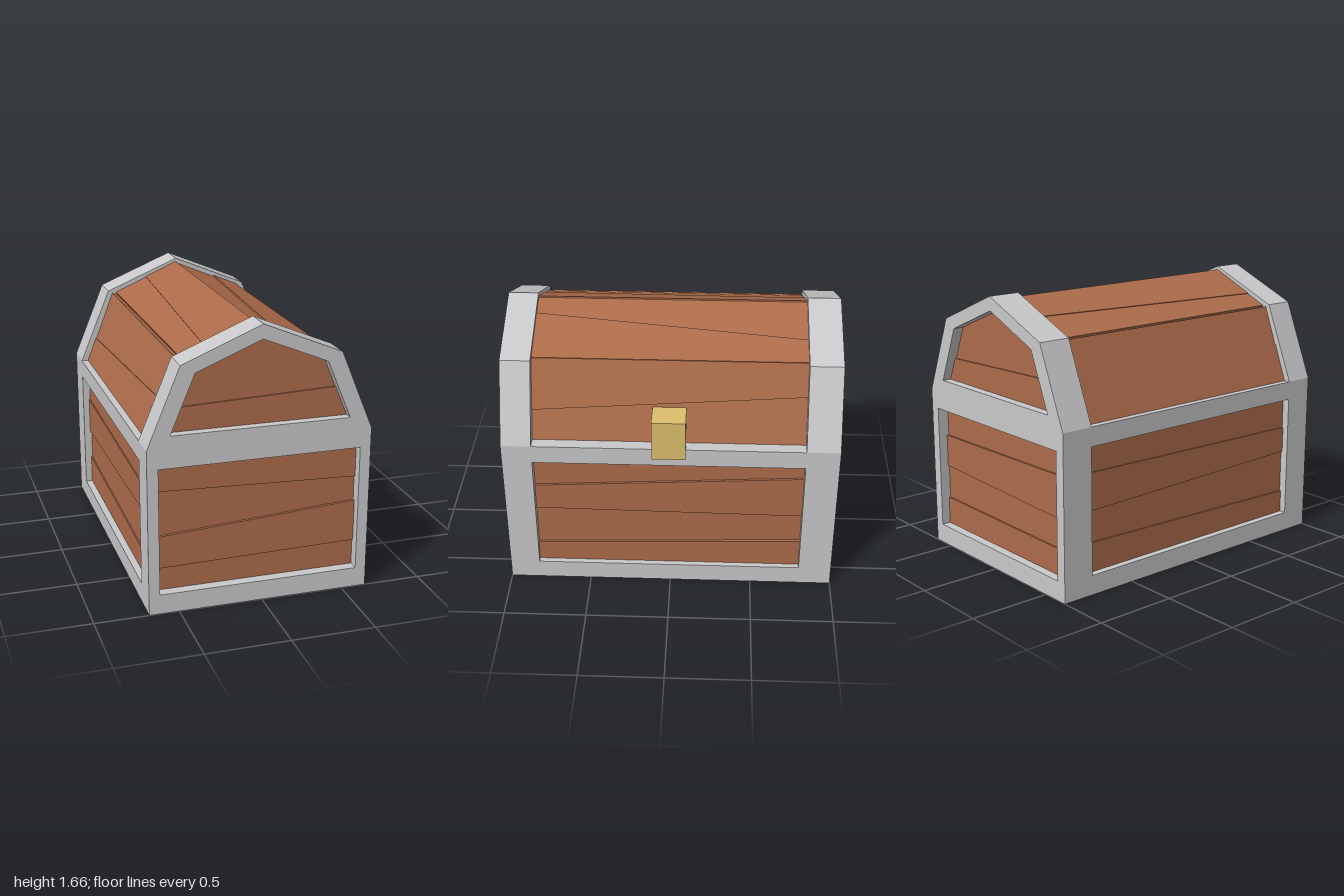
import * as THREE from 'three';

const CX = -0.013; // centre line of the box; the lock sticks out on +x

export function createModel() {
  const root = new THREE.Group();
  const mat = (name, color) => {
    const m = new THREE.MeshStandardMaterial({ color });
    m.name = name;
    return m;
  };
  const metal = mat('grey metal', 0xc9c9cb);
  const wood = mat('brown wood', 0xad6c4b);
  const brass = mat('brass', 0xdcbf6d);

  const add = (geo, material, name, parent = root) => {
    const mesh = new THREE.Mesh(geo, material);
    mesh.name = name;
    parent.add(mesh);
    return mesh;
  };
  const box = (w, h, d, x, y, z, material, name) =>
    add(new THREE.BoxGeometry(w, h, d), material, name).position.set(x, y, z);

  // ---- end frames: gabled outline with two openings
  const poly = (pts, Type = THREE.Shape) => new Type(pts.map(([x, y]) => new THREE.Vector2(x, y)));
  const outline = poly([[-0.665, 0], [0.665, 0], [0.665, 1], [0.47, 1.47], [0, 1.665], [-0.47, 1.47], [-0.665, 1]]);
  outline.holes.push(
    poly([[-0.6, 0.12], [-0.6, 0.885], [0.6, 0.885], [0.6, 0.12]], THREE.Path),
    poly([[-0.53, 1.075], [-0.387, 1.42], [0, 1.58], [0.387, 1.42], [0.53, 1.075]], THREE.Path));
  for (const [name, z0, depth] of [['frontFrame', 0.82, 0.18], ['backFrame', -1, 0.2]]) {
    add(new THREE.ExtrudeGeometry(outline, { depth, bevelEnabled: false }), metal, name).position.set(CX, 0, z0);
  }

  // ---- long rails joining the end frames
  for (const s of [1, -1]) {
    box(0.12, 0.12, 1.64, CX + s * 0.605, 0.06, 0.01, metal, 'bottomRail');
    box(0.12, 0.115, 1.64, CX + s * 0.605, 0.9425, 0.01, metal, 'topRail');
  }

  // ---- planks: a flat convex outline (counter-clockwise from outside) given thickness
  const plank = (pts, offset, thick, parent) => {
    const n = new THREE.Vector3().subVectors(pts[1], pts[0])
      .cross(new THREE.Vector3().subVectors(pts[2], pts[0])).normalize();
    const outer = pts.map((p) => p.clone().addScaledVector(n, offset));
    const inner = pts.map((p) => p.clone().addScaledVector(n, offset - thick));
    const v = [];
    const tri = (...t) => t.forEach((p) => v.push(p.x, p.y, p.z));
    for (let i = 1; i < pts.length - 1; i++) {
      tri(outer[0], outer[i], outer[i + 1]);
      tri(inner[0], inner[i + 1], inner[i]);
    }
    pts.forEach((_, i) => {
      const j = (i + 1) % pts.length;
      tri(outer[i], inner[i], inner[j]);
      tri(outer[i], inner[j], outer[j]);
    });
    const geo = new THREE.BufferGeometry();
    geo.setAttribute('position', new THREE.Float32BufferAttribute(v, 3));
    geo.computeVertexNormals();
    add(geo, wood, 'plank', parent);
  };

  // panel split by slanted cuts; each cut is [height at left edge, height at right edge]
  const panel = (name, bl, br, tr, tl, cuts, offsets) => {
    const group = new THREE.Group();
    group.name = name;
    root.add(group);
    const [a, b, c, d] = [bl, br, tr, tl].map((p) => new THREE.Vector3(...p));
    const at = (lo, hi, y) => lo.clone().lerp(hi, (y - lo.y) / (hi.y - lo.y));
    const rows = [[a.y, b.y], ...cuts, [d.y, c.y]];
    offsets.forEach((o, i) => plank([
      at(a, d, rows[i][0]), at(b, c, rows[i][1]),
      at(b, c, rows[i + 1][1]), at(a, d, rows[i + 1][0])], o, 0.05, group));
    return group;
  };

  // ---- lower walls
  const Y0 = 0.11, Y1 = 0.89, ZF = 0.825, ZB = -0.805;
  const xl = CX - 0.602, xr = CX + 0.602, sx = 0.615;
  panel('frontWall', [xl, Y0, 0.935], [xr, Y0, 0.935], [xr, Y1, 0.935], [xl, Y1, 0.935],
    [[0.26, 0.28], [0.455, 0.535], [0.73, 0.685]], [0, 0.012, -0.005, 0.008]);
  panel('backWall', [xr, Y0, -0.935], [xl, Y0, -0.935], [xl, Y1, -0.935], [xr, Y1, -0.935],
    [[0.29, 0.28], [0.5, 0.46], [0.7, 0.72]], [0.01, 0, 0.008, -0.005]);
  panel('rightWall', [CX + sx, Y0, ZF], [CX + sx, Y0, ZB], [CX + sx, Y1, ZB], [CX + sx, Y1, ZF],
    [[0.25, 0.305], [0.515, 0.495], [0.685, 0.775]], [0.016, 0, 0.008, -0.006]);
  panel('leftWall', [CX - sx, Y0, ZB], [CX - sx, Y0, ZF], [CX - sx, Y1, ZF], [CX - sx, Y1, ZB],
    [[0.3, 0.26], [0.49, 0.53], [0.72, 0.69]], [0.008, 0, 0.01, 0.003]);

  // ---- bottom board
  box(1.16, 0.06, 1.66, CX, 0.08, 0.01, wood, 'bottomBoard');

  // ---- gable panels in the upper openings
  for (const [s, name] of [[1, 'frontGable'], [-1, 'backGable']]) {
    const z = s * 0.935;
    const p = (x, y) => new THREE.Vector3(CX + s * x, y, z);
    const g = panel(name, [CX - s * 0.535, 1.07, z], [CX + s * 0.535, 1.07, z],
      [CX + s * 0.46, 1.25, z], [CX - s * 0.475, 1.215, z], [], [0.01]);
    plank([p(-0.475, 1.215), p(0.46, 1.25), p(0.39, 1.42), p(0, 1.583), p(-0.39, 1.42)], 0, 0.05, g);
  }

  // ---- lid: two slopes on each side
  const ridge = 1.64;
  panel('lidRightLower', [0.58, 0.99, ZF], [0.58, 0.99, ZB], [0.4, 1.46, ZB], [0.4, 1.46, ZF],
    [[1.17, 1.27]], [0, 0.012]);
  panel('lidRightUpper', [0.405, 1.46, ZF], [0.405, 1.46, ZB], [CX, ridge, ZB], [CX, ridge, ZF],
    [[1.59, 1.525]], [0.006, -0.003]);
  panel('lidLeftLower', [-0.635, 0.99, ZB], [-0.635, 0.99, ZF], [-0.455, 1.455, ZF], [-0.455, 1.455, ZB],
    [[1.15, 1.225]], [0.005, 0]);
  panel('lidLeftUpper', [-0.43, 1.46, ZB], [-0.43, 1.46, ZF], [CX, ridge, ZF], [CX, ridge, ZB],
    [[1.55, 1.518]], [0, 0.004]);

  // ---- wedge-shaped lock on the right side
  const lock = poly([[0.505, 1.2], [0.61, 0.945], [0.675, 0.945], [0.675, 1.2]]);
  add(new THREE.ExtrudeGeometry(lock, { depth: 0.2, bevelEnabled: false }), brass, 'lock').position.z = -0.092;

  return root;
}
